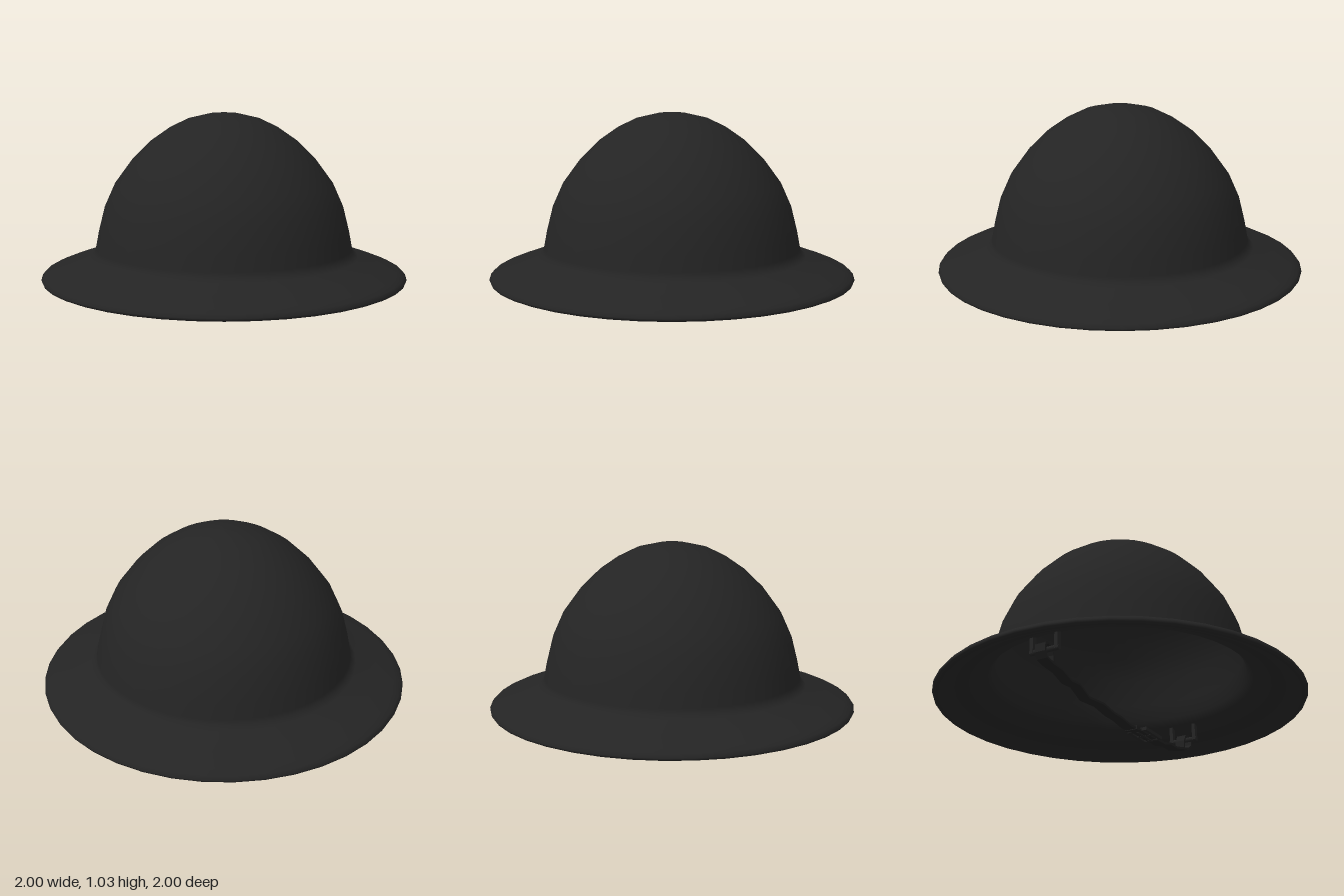
import * as THREE from 'three';

export function createModel() {
  const model = new THREE.Group();
  const steel = new THREE.MeshStandardMaterial({ name: 'dark steel', color: 0x242424 });
  const webbing = new THREE.MeshStandardMaterial({ name: 'dark webbing', color: 0x202020 });

  const add = (name, geometry, material, x = 0, y = 0, z = 0, parent = model) => {
    const mesh = new THREE.Mesh(geometry, material);
    mesh.name = name;
    mesh.position.set(x, y, z);
    parent.add(mesh);
    return mesh;
  };
  const vectors = (list) => list.map(([x, y]) => new THREE.Vector2(x, y));

  // Shell: down the inside of the bowl, round the rolled rim, up the outside
  const profile = vectors([
    [0, 1.015], [0.2, 0.98], [0.38, 0.865], [0.48, 0.76], [0.575, 0.635], [0.625, 0.51],
    [0.665, 0.37], [0.685, 0.28], [0.72, 0.24], [0.85, 0.19], [0.945, 0.155],
    [0.955, 0.135], [0.975, 0.13], [0.995, 0.138], [1, 0.15], [0.985, 0.168], [0.95, 0.185],
    [0.85, 0.222], [0.735, 0.263], [0.71, 0.285], [0.703, 0.31], [0.688, 0.39],
    [0.653, 0.53], [0.595, 0.66], [0.5, 0.79], [0.4, 0.89], [0.3, 0.96], [0.2, 1.01],
    [0.08, 1.039], [0, 1.045],
  ]);
  add('helmetShell', new THREE.LatheGeometry(profile, 40), steel);

  // Flat band: a side-view path thickened both ways, then extruded across z
  function band(points, width, thickness) {
    const path = vectors(points);
    const edge = (side) => path.map((p, i) => {
      const a = path[Math.max(i - 1, 0)], b = path[Math.min(i + 1, path.length - 1)];
      const t = b.clone().sub(a).normalize();
      return new THREE.Vector2(p.x - t.y * side, p.y + t.x * side);
    });
    const outline = [...edge(thickness / 2), ...edge(-thickness / 2).reverse()];
    return new THREE.ExtrudeGeometry(new THREE.Shape(outline), { depth: width, bevelEnabled: false })
      .translate(0, 0, -width / 2);
  }

  // Wavy chin strap, turned up at both ends
  add('chinStrap', band([
    [-0.775, 0.17], [-0.778, 0.125], [-0.76, 0.098], [-0.7, 0.087], [-0.62, 0.084], [-0.53, 0.057],
    [-0.455, 0.065], [-0.36, 0.026], [-0.22, 0.041], [-0.11, 0.027], [-0.03, 0.028], [0.07, 0.016],
    [0.19, 0.028], [0.36, 0.032], [0.45, 0.036], [0.52, 0.057], [0.6, 0.058], [0.69, 0.081],
    [0.75, 0.1], [0.78, 0.125], [0.785, 0.17],
  ], 0.06, 0.012), webbing);

  // Strap loop, hanger bar and lug under each side of the brim
  for (const side of [-1, 1]) {
    const hanger = new THREE.Group();
    hanger.name = side > 0 ? 'leftHanger' : 'rightHanger';
    model.add(hanger);
    add('strapFold', band([
      [0.695 * side, 0.083], [0.697 * side, 0.13], [0.715 * side, 0.165],
      [0.75 * side, 0.178], [0.78 * side, 0.165],
    ], 0.055, 0.012), webbing, 0, 0, 0, hanger);
    const bar = new THREE.CylinderGeometry(0.014, 0.014, 0.17, 10).rotateX(Math.PI / 2);
    add('hangerBar', bar, steel, 0.738 * side, 0.148, 0, hanger);
    for (const z of [-0.072, 0.072]) {
      add('hangerLug', new THREE.BoxGeometry(0.03, 0.1, 0.02), steel, 0.738 * side, 0.19, z, hanger);
    }
  }

  // Buckle: open rectangular frame with a centre bar and a prong
  const buckle = new THREE.Group();
  buckle.name = 'buckle';
  buckle.position.set(0.27, 0.032, 0);
  model.add(buckle);
  for (const z of [-0.05, 0.05]) {
    add('buckleSide', new THREE.BoxGeometry(0.18, 0.018, 0.018), steel, 0, 0, z, buckle);
  }
  for (const x of [-0.08, 0, 0.08]) {
    add('buckleBar', new THREE.BoxGeometry(0.018, 0.018, 0.1), steel, x, 0, 0, buckle);
  }
  add('buckleProng', new THREE.BoxGeometry(0.16, 0.01, 0.012), steel, 0, -0.008, 0, buckle);

  // Short strap keeper beside the buckle
  add('strapKeeper', new THREE.BoxGeometry(0.025, 0.022, 0.07), webbing, 0.13, 0.022, 0);

  return model;
}
